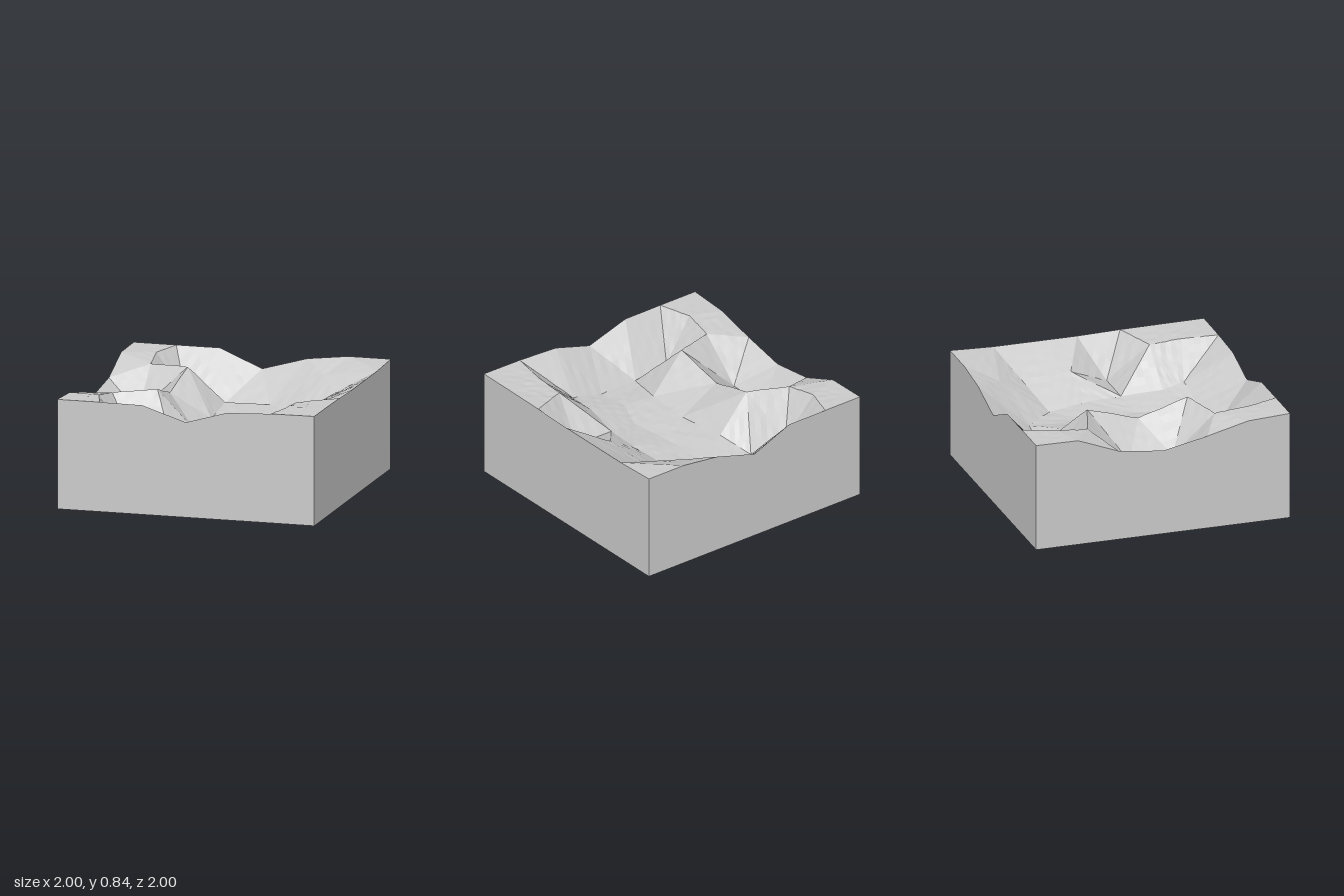
import * as THREE from 'three';

const CORNER = 0.838;

// Rim heights along each side, as [position, height] between the corners
const rimBack = [[-0.67, 0.838], [-0.33, 0.838], [0, 0.7], [0.35, 0.8], [0.67, 0.838]];
const rimFront = [[-0.67, 0.838], [-0.34, 0.836], [0, 0.727], [0.32, 0.82], [0.66, 0.835]];
const rimWest = [[-0.67, 0.835], [-0.35, 0.71], [0, 0.668], [0.35, 0.74], [0.67, 0.82]];
const rimEast = [[-0.66, 0.825], [-0.33, 0.825], [0, 0.825], [0.34, 0.833], [0.67, 0.836]];

// Land forms repeated on the front and back of the west side: [x, height, z]
const mirrored = [
  [-0.4, 0.822, 0.395],  // peak
  [-0.72, 0.8, 0.5],     // start of the spur
  [-0.75, 0.832, 0.75],  // corner plateau
  [-0.51, 0.52, 0.72],   // gully behind the spur
  [-0.2, 0.49, 0.7],     // gully mouth
  [-0.72, 0.5, 0.17],    // west hollow
];

// Ridge saddle, basin floor and east slopes: [x, height, z]
const inner = [
  [-0.42, 0.71, 0],
  [-0.12, 0.56, -0.43], [-0.1, 0.53, 0], [-0.12, 0.53, 0.38],
  [0.15, 0.49, -0.2], [0.2, 0.49, 0.2], [0.1, 0.5, 0.45], [0.15, 0.52, 0.66],
  [0.16, 0.51, -0.66], [0.41, 0.495, -0.42], [0.7, 0.66, -0.54], [0.55, 0.735, -0.76],
  [0.45, 0.52, -0.1], [0.7, 0.67, -0.15], [0.45, 0.53, 0.16], [0.78, 0.53, 0.16],
  [0.4, 0.56, 0.47], [0.7, 0.81, 0.47], [0.7, 0.825, 0.72], [0.43, 0.59, 0.65],
];

// Rim loop, going round the block
function rimLoop() {
  const at = (list, place) => list.map(([t, y]) => place(t, y));
  return [
    [-1, CORNER, 1], ...at(rimFront, (t, y) => [t, y, 1]),
    [1, CORNER, 1], ...at(rimEast, (t, y) => [1, y, t]).reverse(),
    [1, CORNER, -1], ...at(rimBack, (t, y) => [t, y, -1]).reverse(),
    [-1, CORNER, -1], ...at(rimWest, (t, y) => [-1, y, t]),
  ];
}

const area = (a, b, c) => (b[0] - a[0]) * (c[2] - a[2]) - (b[2] - a[2]) * (c[0] - a[0]);

// True when p lies inside the circle through a, b, c on the ground plan
function inCircle(a, b, c, p) {
  const [ax, az, bx, bz, cx, cz] = [a, b, c].flatMap(q => [q[0] - p[0], q[2] - p[2]]);
  const d = (ax * ax + az * az) * (bx * cz - cx * bz)
    - (bx * bx + bz * bz) * (ax * cz - cx * az)
    + (cx * cx + cz * cz) * (ax * bz - bx * az);
  return d * Math.sign(area(a, b, c)) > 1e-9;
}

// Joins scattered points into triangles (Delaunay, point by point)
function triangulate(points) {
  const outer = [[-60, 0, -50], [60, 0, -50.3], [0.7, 0, 70]];
  let tris = [outer];
  for (const p of points) {
    const edges = [];
    tris = tris.filter(t => {
      if (!inCircle(...t, p)) return true;
      edges.push([t[0], t[1]], [t[1], t[2]], [t[2], t[0]]);
      return false;
    });
    for (const [a, b] of edges) {
      const shared = edges.filter(([c, d]) => (a === c && b === d) || (a === d && b === c)).length > 1;
      if (!shared && Math.abs(area(a, b, p)) > 1e-9) tris.push([a, b, p]);
    }
  }
  return tris.filter(t => !t.some(p => outer.includes(p)));
}

// Slight roughness of the ground, fading out at the rim
function rough([x, y, z]) {
  const fade = Math.min(1, 8 * Math.min(1 - Math.abs(x), 1 - Math.abs(z)));
  const n = Math.sin(x * 61 + z * 23) + Math.sin(z * 71 - x * 37) + Math.sin(x * 113 + z * 97);
  return [x, y + 0.0012 * n * fade, z];
}

function meshFrom(name, positions) {
  const geometry = new THREE.BufferGeometry();
  geometry.setAttribute('position', new THREE.Float32BufferAttribute(positions, 3));
  geometry.computeVertexNormals();
  const mesh = new THREE.Mesh(geometry,
    new THREE.MeshStandardMaterial({ color: 0xcccccc, flatShading: true }));
  mesh.name = name;
  return mesh;
}

// Ground surface: each facet is split into small rough triangles
function terrain(rim) {
  const points = [...rim, ...inner];
  for (const [x, y, z] of mirrored) points.push([x, y, z], [x, y, -z]);
  const out = [];
  const n = 6;
  for (const t of triangulate(points)) {
    const [a, b, c] = area(...t) < 0 ? t : [t[0], t[2], t[1]];
    const at = (i, j) => rough([0, 1, 2].map(k => a[k] + ((b[k] - a[k]) * i + (c[k] - a[k]) * j) / n));
    for (let i = 0; i < n; i++) {
      for (let j = 0; j < n - i; j++) {
        out.push(...at(i, j), ...at(i + 1, j), ...at(i, j + 1));
        if (i + j < n - 1) out.push(...at(i + 1, j), ...at(i + 1, j + 1), ...at(i, j + 1));
      }
    }
  }
  return meshFrom('terrainSurface', out);
}

// Cut sides of the block, from the ground up to the rim
function sides(rim) {
  const out = [];
  rim.forEach((a, i) => {
    const b = rim[(i + 1) % rim.length];
    const a0 = [a[0], 0, a[2]], b0 = [b[0], 0, b[2]];
    out.push(...a0, ...b0, ...b, ...a0, ...b, ...a);
  });
  return meshFrom('blockSides', out);
}

export function createModel() {
  const group = new THREE.Group();
  group.name = 'terrainBlock';
  const rim = rimLoop();
  group.add(terrain(rim), sides(rim));

  // Flat underside
  const underside = new THREE.Mesh(new THREE.PlaneGeometry(2, 2),
    new THREE.MeshStandardMaterial({ color: 0xcccccc }));
  underside.rotation.x = Math.PI / 2;
  underside.name = 'underside';
  group.add(underside);
  return group;
}
